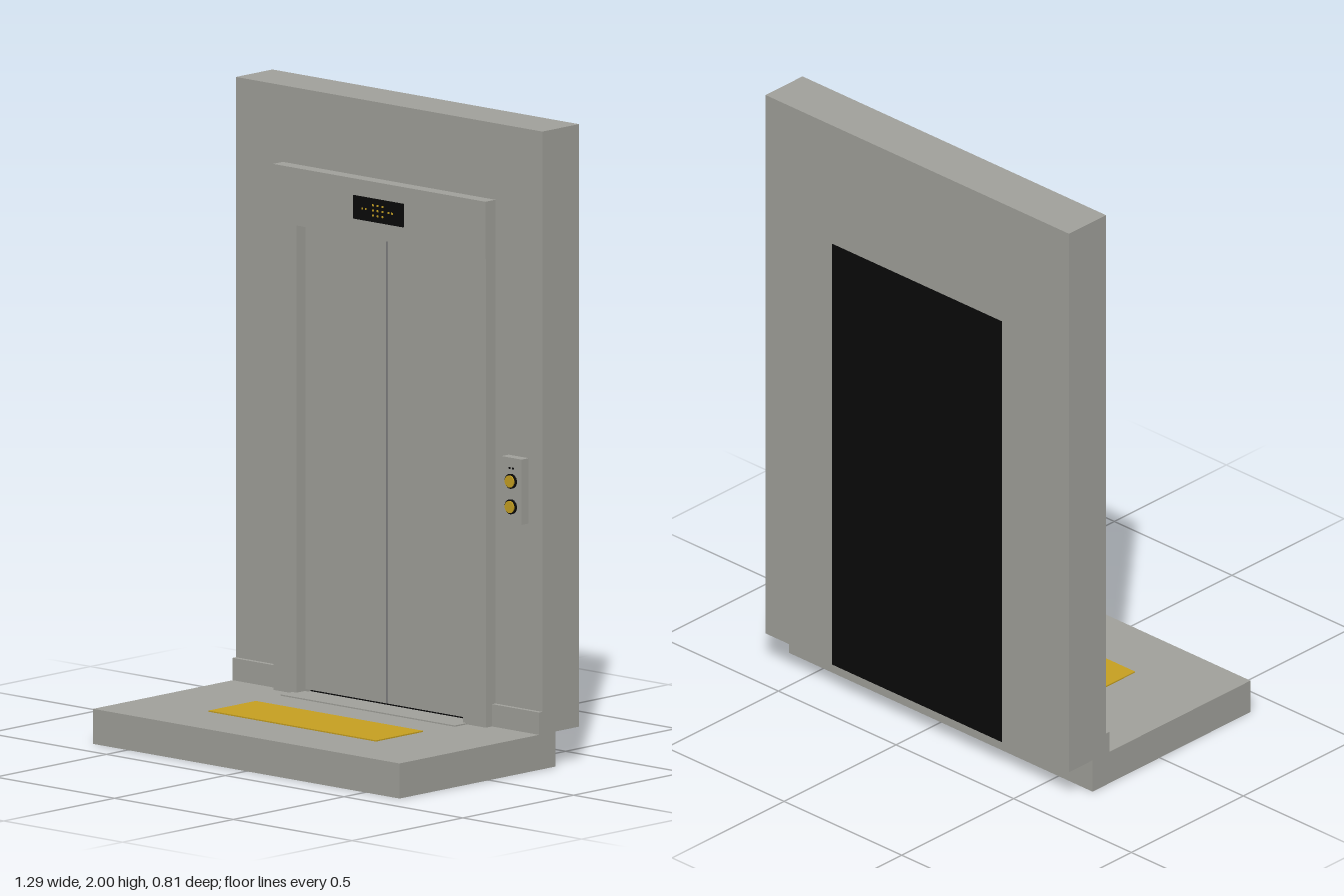
import * as THREE from 'three';

export function createModel() {
  const model = new THREE.Group();
  const mat = (name, color) => {
    const m = new THREE.MeshStandardMaterial({ color });
    m.name = name;
    return m;
  };
  const grey = mat('brushed grey', 0xa3a39d);
  const black = mat('black', 0x0a0a0a);
  const gold = mat('gold', 0xc8a222);
  const seamGrey = mat('seam grey', 0x62626a);

  // Box given by its limits on each axis
  const box = (name, material, [x0, x1], [y0, y1], [z0, z1]) => {
    const mesh = new THREE.Mesh(new THREE.BoxGeometry(x1 - x0, y1 - y0, z1 - z0), material);
    mesh.position.set((x0 + x1) / 2, (y0 + y1) / 2, (z0 + z1) / 2);
    mesh.name = name;
    model.add(mesh);
    return mesh;
  };
  // Disc facing the front
  const disc = (name, material, r, x, y, z0, z1) => {
    const mesh = new THREE.Mesh(new THREE.CylinderGeometry(r, r, z1 - z0, 24), material);
    mesh.rotation.x = Math.PI / 2;
    mesh.position.set(x, y, (z0 + z1) / 2);
    mesh.name = name;
    model.add(mesh);
  };

  const W = 0.645, FRAME = 0.447, DOOR = 0.35;
  const FLOOR = 0.11, DOOR_TOP = 1.58, FRAME_TOP = 1.76;
  const BACK = -0.405, WALL = -0.24, FRONT = -0.195;

  // Landing slab, warning mat and door sill
  box('floorSlab', grey, [-W, W], [0, FLOOR], [-0.30, 0.405]);
  box('floorMat', gold, [-0.352, 0.352], [FLOOR, 0.114], [-0.015, 0.197]);
  box('doorSill', grey, [-0.367, 0.367], [FLOOR, 0.114], [-0.235, -0.143]);

  // Wall with a doorway cut from the floor up
  const outline = new THREE.Shape([
    [-W, FLOOR], [-FRAME, FLOOR], [-FRAME, FRAME_TOP], [FRAME, FRAME_TOP],
    [FRAME, FLOOR], [W, FLOOR], [W, 2], [-W, 2],
  ].map(([x, y]) => new THREE.Vector2(x, y)));
  const wall = new THREE.Mesh(
    new THREE.ExtrudeGeometry(outline, { depth: WALL - BACK, bevelEnabled: false }), grey);
  wall.position.z = BACK;
  wall.name = 'wall';
  model.add(wall);

  // Door frame: header, jambs and skirting on both sides
  box('frameHeader', grey, [-FRAME, FRAME], [DOOR_TOP, FRAME_TOP], [BACK, FRONT]);
  for (const s of [-1, 1]) {
    const side = (a, b) => (s > 0 ? [a, b] : [-b, -a]);
    const label = s > 0 ? 'left' : 'right';
    box(label + 'Jamb', grey, side(DOOR, FRAME), [FLOOR, DOOR_TOP], [BACK, FRONT - 0.002]);
    box(label + 'Skirting', grey, side(FRAME, W), [FLOOR, 0.18], [WALL, -0.225]);
    box(label + 'Door', grey, side(0.003, 0.342), [0.122, 1.573], [-0.265, -0.23]);
  }
  box('doorSeam', seamGrey, [-0.003, 0.003], [0.122, 1.573], [-0.265, -0.232]);

  // Dark shaft behind the doors
  box('shaft', black, [-DOOR, DOOR], [FLOOR - 0.001, DOOR_TOP], [BACK, -0.26]);
  box('shaftBack', black, [-0.36, 0.36], [FLOOR - 0.001, DOOR_TOP + 0.005], [BACK - 0.002, BACK + 0.005]);

  // Floor display with small lit dots forming an arrow and dashes
  box('display', black, [-0.105, 0.105], [1.635, 1.708], [FRONT, -0.189]);
  const dots = [
    [-0.065, 0], [-0.05, 0], [-0.02, 0], [0, 0], [0.02, 0], [0.045, 0], [0.06, 0],
    [-0.02, 0.016], [0, 0.016], [0.02, 0.016], [-0.02, -0.016], [0, -0.016], [0.02, -0.016],
  ];
  for (const [x, y] of dots) {
    box('displayDot', gold, [x - 0.003, x + 0.003], [1.669 + y, 1.675 + y], [-0.189, -0.187]);
  }

  // Call panel with two ringed buttons
  const px = 0.545;
  box('callPanel', grey, [px - 0.042, px + 0.042], [0.763, 0.968], [WALL, -0.208]);
  for (const y of [0.815, 0.895]) {
    disc('buttonRing', black, 0.023, px, y, -0.208, -0.201);
    disc('callButton', gold, 0.019, px, y, -0.201, -0.197);
  }
  for (const dx of [-0.007, 0.007]) {
    box('panelMark', black, [px + dx - 0.003, px + dx + 0.003], [0.933, 0.938], [-0.208, -0.206]);
  }
  return model;
}
